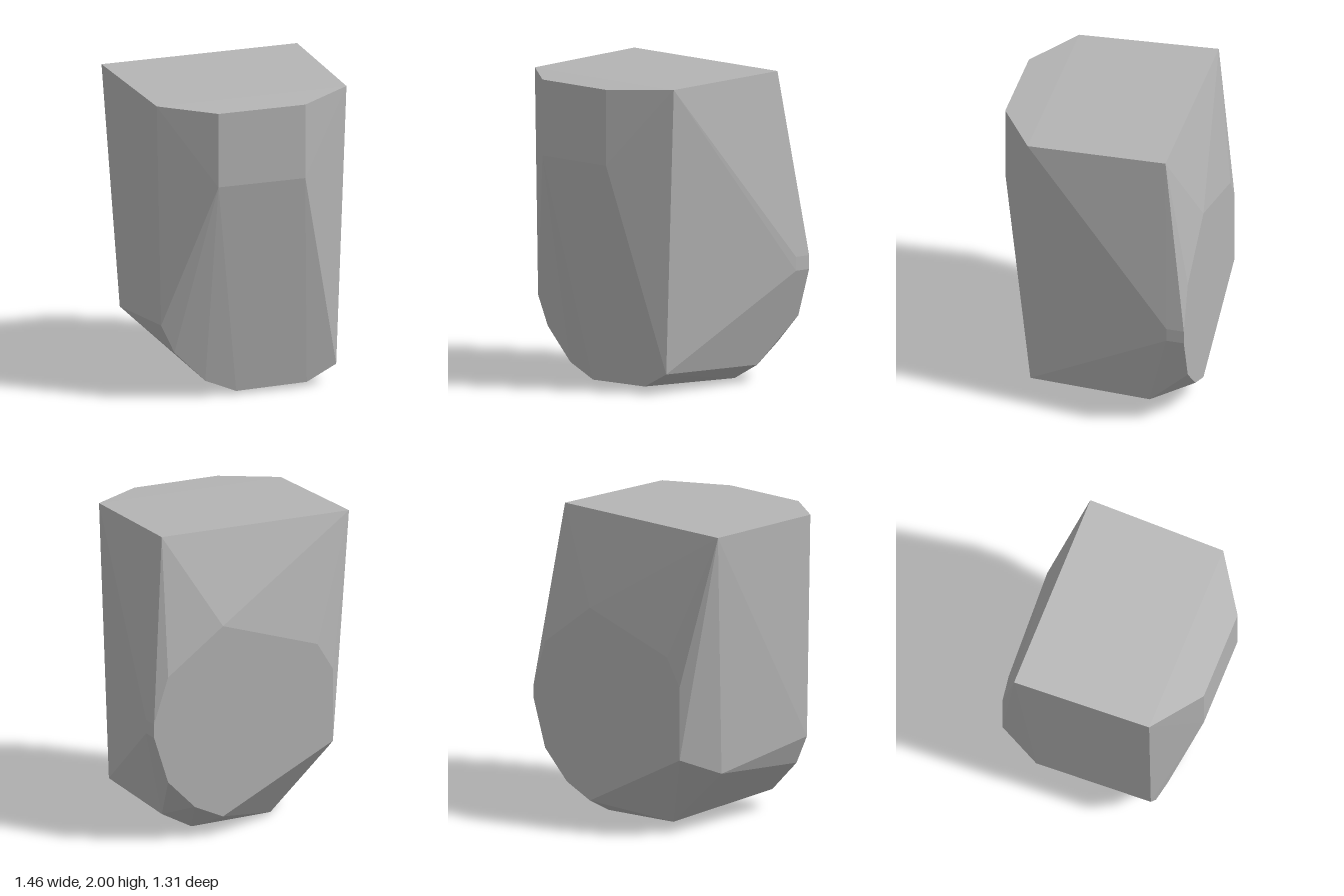
import * as THREE from 'three';
import { ConvexGeometry } from 'three/addons/geometries/ConvexGeometry.js';

export function createModel() {
  const group = new THREE.Group();
  group.name = 'facetedBlock';
  const stone = new THREE.MeshStandardMaterial({ color: 0xb4b4b4 });
  stone.name = 'stoneGrey';

  const corners = [];
  // adds a ring of [x, y] corners lying in one z plane
  const ring = (z, points) => points.forEach(([x, y]) => corners.push(new THREE.Vector3(x, y, z)));

  // front plate under the top edge
  ring(0.655, [[-0.36, 1.96], [0.23, 1.96], [0.23, 1.47], [-0.36, 1.47]]);

  // front shoulder and rounded lower front
  ring(0.41, [
    [-0.69, 1.975], [0.60, 1.975], [0.53, 0.13], [0.33, 0.03],
    [-0.15, 0.02], [-0.36, 0.11], [-0.57, 0.32], [-0.66, 0.51],
  ]);

  // rear corners of the underside
  ring(-0.38, [[0.54, 0.11], [0.33, 0], [-0.23, 0.02], [-0.65, 0.41]]);

  // rear edge of the top
  ring(-0.50, [[-0.73, 2], [0.60, 2]]);

  // bulge on the side
  ring(-0.54, [[0.73, 0.81], [0.73, 0.72]]);

  // flat back
  ring(-0.655, [
    [0.24, 1.40], [0.63, 1.11], [0.73, 0.81], [0.73, 0.72], [0.63, 0.41],
    [0.44, 0.22], [0.24, 0.13], [-0.54, 0.53], [-0.54, 1.01], [-0.43, 1.19],
  ]);

  const body = new THREE.Mesh(new ConvexGeometry(corners), stone);
  body.name = 'body';
  group.add(body);
  return group;
}
